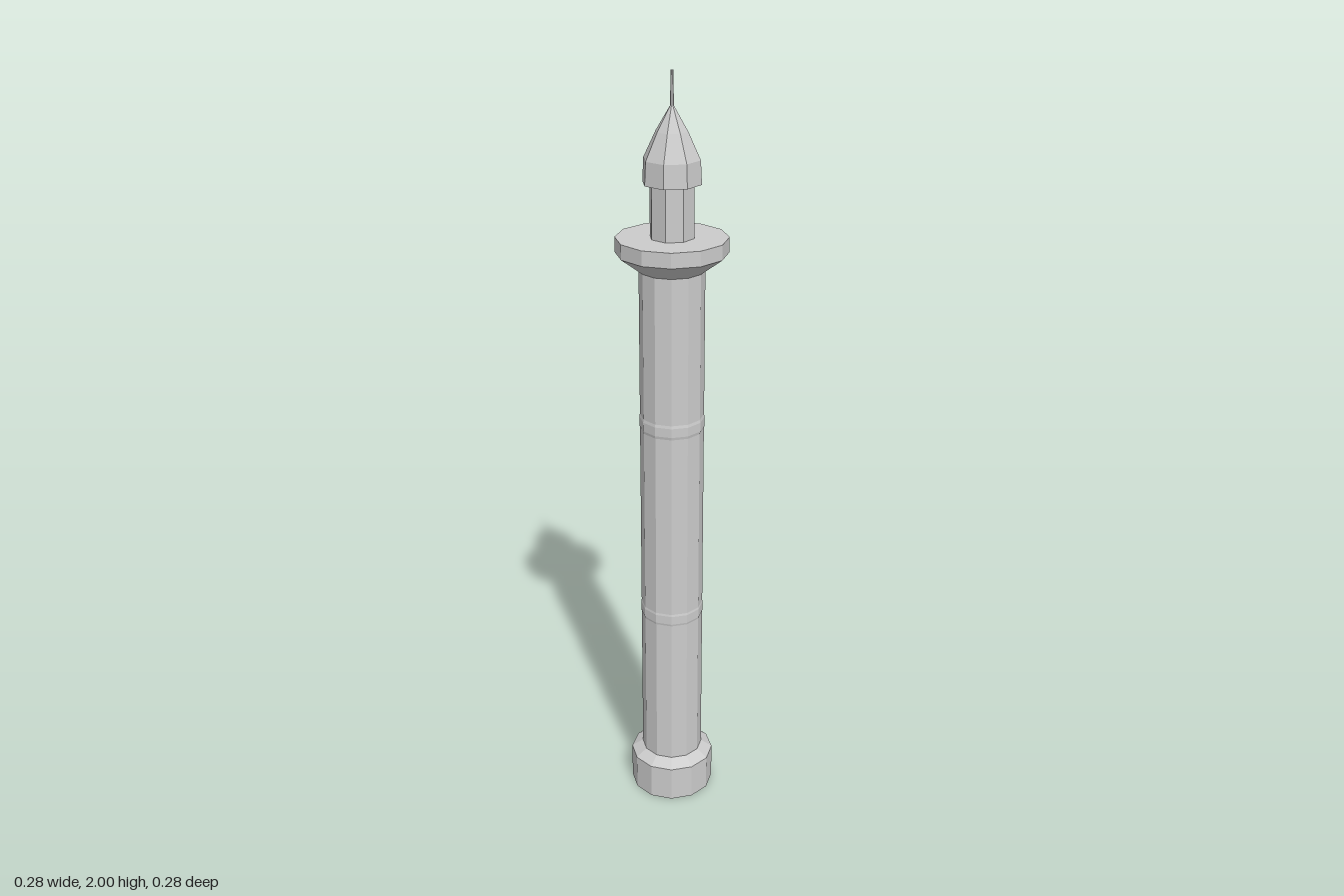
import * as THREE from 'three';

export function createModel() {
  const tower = new THREE.Group();
  tower.name = 'tower';
  const stone = new THREE.MeshStandardMaterial({ color: 0xcccccc, flatShading: true });
  stone.name = 'paleStone';

  // Faceted solid turned around y; profile is [radius, height] from bottom to top
  function turned(name, sides, profile) {
    const points = profile.map(([r, y]) => new THREE.Vector2(r, y));
    const mesh = new THREE.Mesh(new THREE.LatheGeometry(points, sides), stone);
    mesh.name = name;
    tower.add(mesh);
  }

  // Plinth with a chamfered top
  turned('base', 12, [[0, 0], [0.114, 0], [0.114, 0.1], [0.084, 0.12], [0, 0.12]]);

  // Main column
  turned('shaft', 12, [[0.083, 0.12], [0.082, 1.53]]);

  // Shallow string courses
  for (const y of [0.57, 1.12]) {
    turned('shaftRing', 12, [[0.081, y - 0.025], [0.084, y - 0.012], [0.084, y + 0.012], [0.081, y + 0.025]]);
  }

  // Flared balcony
  turned('balcony', 12, [[0, 1.52], [0.078, 1.52], [0.14, 1.567], [0.14, 1.605], [0, 1.605]]);

  // Lantern turret above the balcony
  turned('turret', 8, [[0.056, 1.605], [0.056, 1.74]]);

  // Pointed roof with its eave
  turned('roof', 8, [[0, 1.737], [0.074, 1.737], [0.071, 1.795], [0.04, 1.86], [0.004, 1.92]]);

  // Finial spike
  turned('spike', 6, [[0.005, 1.905], [0.003, 2], [0, 2]]);

  return tower;
}
